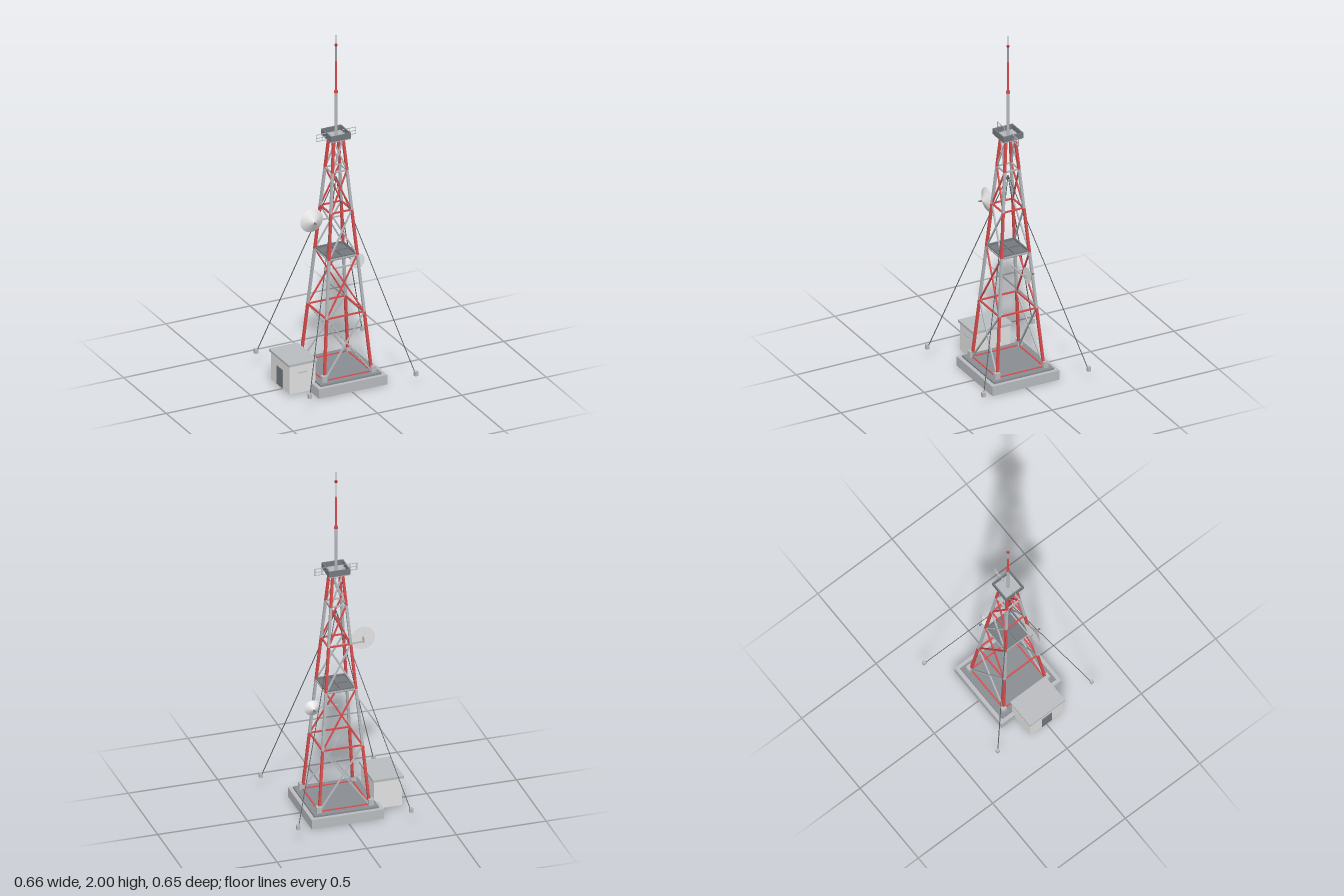
import * as THREE from 'three';

const mat = (name, color) => {
  const m = new THREE.MeshStandardMaterial({ color });
  m.name = name;
  return m;
};

export function createModel() {
  const red = mat('signal red', 0xdc4e4e);
  const beaconRed = mat('beacon red', 0xb82424);
  const steel = mat('steel grey', 0xb6babe);
  const dark = mat('dark steel', 0x767b80);
  const concrete = mat('concrete', 0xbbbec2);
  const plinthGrey = mat('plinth grey', 0x8b8f94);
  const wall = mat('hut wall', 0xe4e4e4);
  const dishWhite = mat('dish white', 0xe6e6e6);
  const wire = mat('wire', 0x5e6468);

  const model = new THREE.Group();
  model.name = 'latticeTower';
  const tower = new THREE.Group();
  tower.name = 'tower';
  tower.position.x = 0.006;
  model.add(tower);

  const V = (x, y, z) => new THREE.Vector3(x, y, z);
  const add = (name, geo, m, x, y, z, parent = tower) => {
    const mesh = new THREE.Mesh(geo, m);
    mesh.name = name;
    mesh.position.set(x, y, z);
    parent.add(mesh);
    return mesh;
  };
  const box = (name, m, w, h, d, x, y, z, parent) =>
    add(name, new THREE.BoxGeometry(w, h, d), m, x, y, z, parent);
  // Square bar between two points
  const bar = (name, m, a, b, width) => {
    const dir = b.clone().sub(a);
    const mid = a.clone().add(b).multiplyScalar(0.5);
    const mesh = box(name, m, width, dir.length(), width, mid.x, mid.y, mid.z);
    mesh.quaternion.setFromUnitVectors(V(0, 1, 0), dir.normalize());
  };
  const corners = [[-1, -1], [1, -1], [1, 1], [-1, 1]];

  // Foundation
  box('slab', concrete, 0.404, 0.055, 0.404, 0, 0.0275, 0);
  box('plinth', plinthGrey, 0.36, 0.01, 0.36, 0, 0.06, 0);
  for (const [sx, sz] of corners) box('foot', concrete, 0.028, 0.04, 0.028, sx * 0.145, 0.08, sz * 0.145);

  // Tapering lattice in alternating red and grey stages
  const levels = [0.065, 0.408, 0.735, 0.993, 1.22, 1.4];
  const half = (y) => 0.14 - (y - 0.065) * 0.0839;
  const ringMats = [red, red, steel, red, steel, red];
  levels.forEach((y, i) => {
    const h = half(y);
    // Horizontal ring
    for (const s of [-1, 1]) {
      box('ringBar', ringMats[i], h * 2, 0.008, 0.008, 0, y, s * h);
      box('ringBar', ringMats[i], 0.008, 0.008, h * 2, s * h, y, 0);
    }
    if (i === levels.length - 1) return;
    const y2 = levels[i + 1], h2 = half(y2);
    // Legs
    for (const [sx, sz] of corners)
      bar('leg', i % 2 ? steel : red, V(sx * h, y, sz * h), V(sx * h2, y2, sz * h2), 0.0135);
    // Cross braces on front and back
    for (const sz of [-1, 1]) for (const sx of [-1, 1])
      bar('brace', i % 2 ? red : steel, V(sx * h, y, sz * h), V(-sx * h2, y2, sz * h2), 0.0075);
  });

  // Platforms: plate with a raised rim
  const platform = (name, size, y, height, plateMat) => {
    box(name + 'Deck', plateMat, size * 2 - 0.006, 0.01, size * 2 - 0.006, 0, y + 0.005, 0);
    for (const s of [-1, 1]) {
      box(name + 'Rim', dark, size * 2, height, 0.007, 0, y + 0.006 + height / 2, s * (size - 0.0035));
      box(name + 'Rim', dark, 0.007, height, size * 2, s * (size - 0.0035), y + 0.006 + height / 2, 0);
    }
  };
  platform('middlePlatform', 0.084, 0.725, 0.016, dark);
  box('middlePlatformBeam', dark, 0.16, 0.008, 0.005, 0, 0.741, 0);
  box('middlePlatformBeam', dark, 0.005, 0.008, 0.16, 0, 0.741, 0);
  platform('topPlatform', 0.06, 1.402, 0.032, steel);

  // Outrigger rails beside the top platform
  for (const s of [-1, 1]) {
    for (const y of [1.4, 1.418, 1.438])
      box('outriggerRail', steel, 0.08, 0.003, 0.003, s * 0.078, y, 0);
    for (const x of [0.04, 0.078, 0.117])
      box('outriggerPost', steel, 0.003, 0.04, 0.003, s * x, 1.419, 0);
  }

  // Mast and aerial
  const tube = (name, m, r, y1, y2) =>
    add(name, new THREE.CylinderGeometry(r, r, y2 - y1, 12), m, 0, (y1 + y2) / 2, 0);
  tube('mastLower', steel, 0.0085, 1.41, 1.67);
  tube('mastCollar', red, 0.011, 1.663, 1.675);
  tube('mastMiddle', red, 0.006, 1.67, 1.85);
  tube('mastUpper', steel, 0.004, 1.85, 1.94);
  tube('mastTip', steel, 0.002, 1.94, 2.0);
  add('beacon', new THREE.SphereGeometry(0.008, 12, 8), beaconRed, 0, 1.942, 0);

  // Guy wires and anchors
  for (const [sx, sz] of corners) {
    box('anchor', concrete, 0.018, 0.026, 0.018, sx * 0.315, 0.088, sz * 0.316);
    bar('guyWire', wire, V(sx * 0.31, 0.095, sz * 0.311), V(0, 1.175, 0), 0.0035);
  }

  // Dish antenna; dir is the z direction it points
  const dish = (name, x, y, r, depth, dir, armEnd, armZ) => {
    const g = new THREE.Group();
    g.name = name;
    g.position.set(x, y, 0);
    tower.add(g);
    const rim = 0.037;
    const cone = add('dishCone', new THREE.ConeGeometry(r, depth, 24), dishWhite, 0, 0, dir * (rim + depth / 2), g);
    cone.rotation.x = dir * Math.PI / 2;
    const feed = add('dishFeed', new THREE.CylinderGeometry(0.0045, 0.0045, 0.022, 8), dark, 0, 0, dir * (rim + depth + 0.004), g);
    feed.rotation.x = Math.PI / 2;
    box('dishBracket', steel, 0.007, r * 0.5, rim - armZ + 0.006, 0, -0.006, dir * (armZ + rim - 0.002) / 2, g);
    box('dishArm', steel, Math.abs(armEnd - x), 0.007, 0.007, (armEnd - x) / 2, -0.014 * (r / 0.066), dir * armZ, g);
  };
  dish('largeDish', -0.163, 0.965, 0.067, 0.036, 1, 0.008, 0.023);
  dish('smallDish', 0.144, 0.634, 0.0445, 0.029, -1, -0.005, 0.025);

  // Equipment hut
  const hut = new THREE.Group();
  hut.name = 'hut';
  hut.position.x = -0.2475;
  model.add(hut);
  box('hutBody', wall, 0.155, 0.162, 0.22, 0, 0.095, 0, hut);
  box('hutRoof', concrete, 0.171, 0.014, 0.236, 0, 0.183, 0, hut);
  box('hutDoor', dark, 0.008, 0.105, 0.065, -0.079, 0.073, 0, hut);
  box('hutVent', concrete, 0.055, 0.005, 0.004, 0, 0.13, 0.111, hut);

  return model;
}
